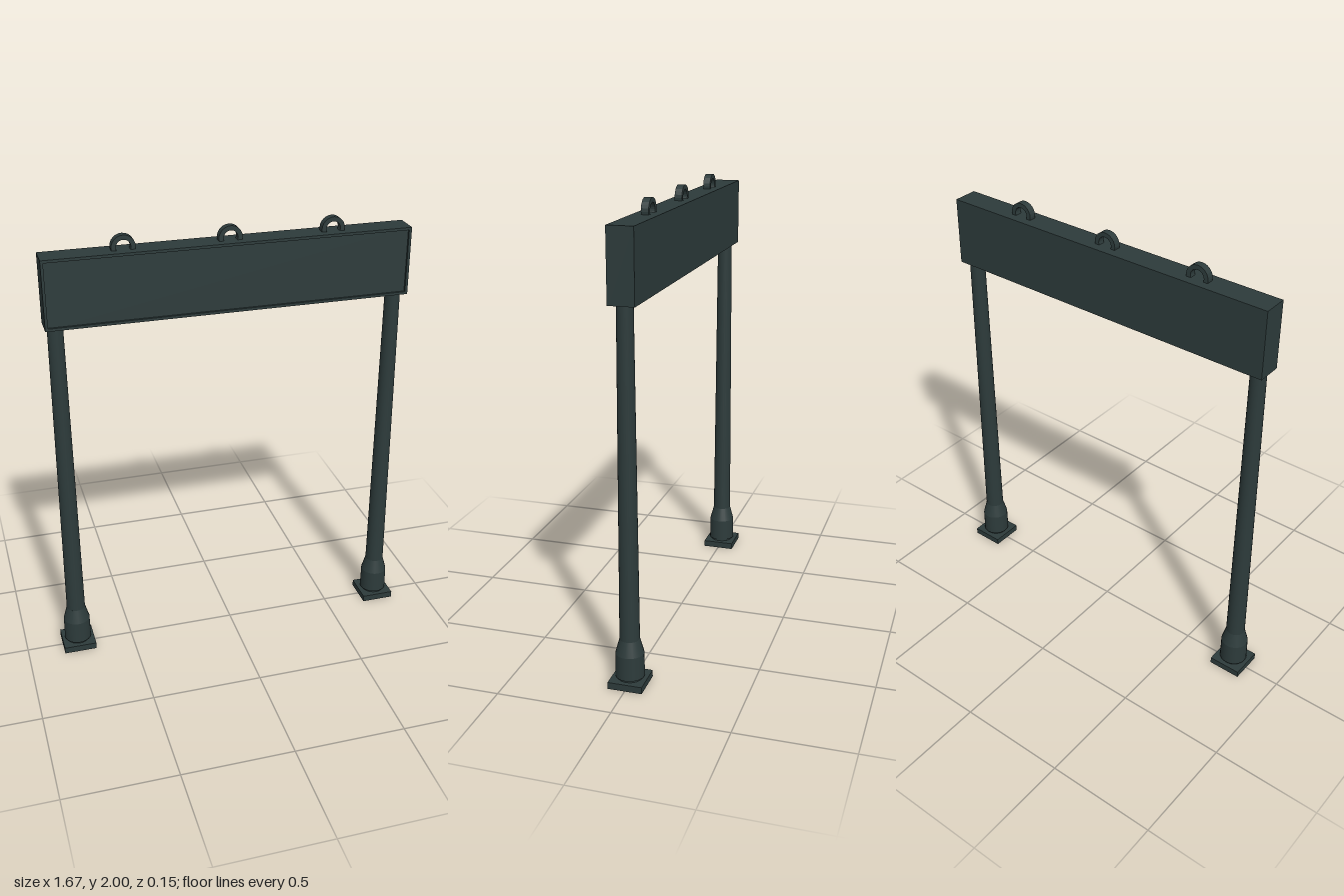
import * as THREE from 'three';

export function createModel() {
  const group = new THREE.Group();
  const metal = new THREE.MeshStandardMaterial({ color: 0x2d3b3b });
  metal.name = 'dark painted metal';

  const add = (parent, name, geometry, x = 0, y = 0, z = 0) => {
    const mesh = new THREE.Mesh(geometry, metal);
    mesh.name = name;
    mesh.position.set(x, y, z);
    parent.add(mesh);
    return mesh;
  };

  // Posts: square foot plate, thick socket, shoulder and tapering pole
  const sections = [
    ['collar', 0.054, 0.054, 0.028, 0.045],
    ['socket', 0.062, 0.061, 0.04, 0.145],
    ['shoulder', 0.061, 0.043, 0.145, 0.21],
    ['pole', 0.043, 0.034, 0.21, 1.64],
  ];
  for (const side of [1, -1]) {
    const post = new THREE.Group();
    post.name = side > 0 ? 'leftPost' : 'rightPost';
    post.position.x = side * 0.758;
    add(post, 'footPlate', new THREE.BoxGeometry(0.15, 0.03, 0.15), 0, 0.015, 0);
    for (const [name, bottom, top, y0, y1] of sections) {
      add(post, name, new THREE.CylinderGeometry(top, bottom, y1 - y0, 24), 0, (y0 + y1) / 2, 0);
    }
    group.add(post);
  }

  // Sign box with a raised rim around the front face
  const W = 1.61, H = 0.306, Y = 1.783, rim = 0.012, lip = 0.01, depth = 0.112;
  const sign = new THREE.Group();
  sign.name = 'signBox';
  add(sign, 'panel', new THREE.BoxGeometry(W, H, depth - lip), 0, Y, -lip / 2);
  const rectangle = (Type, w, h) => new Type([
    new THREE.Vector2(-w / 2, -h / 2), new THREE.Vector2(w / 2, -h / 2),
    new THREE.Vector2(w / 2, h / 2), new THREE.Vector2(-w / 2, h / 2),
  ]);
  const frame = rectangle(THREE.Shape, W, H);
  frame.holes.push(rectangle(THREE.Path, W - 2 * rim, H - 2 * rim));
  add(sign, 'frontRim', new THREE.ExtrudeGeometry(frame, { depth: lip, bevelEnabled: false }),
    0, Y, depth / 2 - lip);
  group.add(sign);

  // Lifting rings: flat bands partly sunk into the top of the sign
  const band = new THREE.Shape().absarc(0, 0, 0.052, 0, Math.PI * 2);
  band.holes.push(new THREE.Path().absarc(0, 0, 0.032, 0, Math.PI * 2, true));
  const ring = new THREE.ExtrudeGeometry(band, { depth: 0.032, bevelEnabled: false, curveSegments: 12 });
  ring.translate(0, 0, -0.016);
  for (const x of [-0.457, 0, 0.457]) add(group, 'liftingRing', ring, x, 1.948, 0);

  return group;
}
